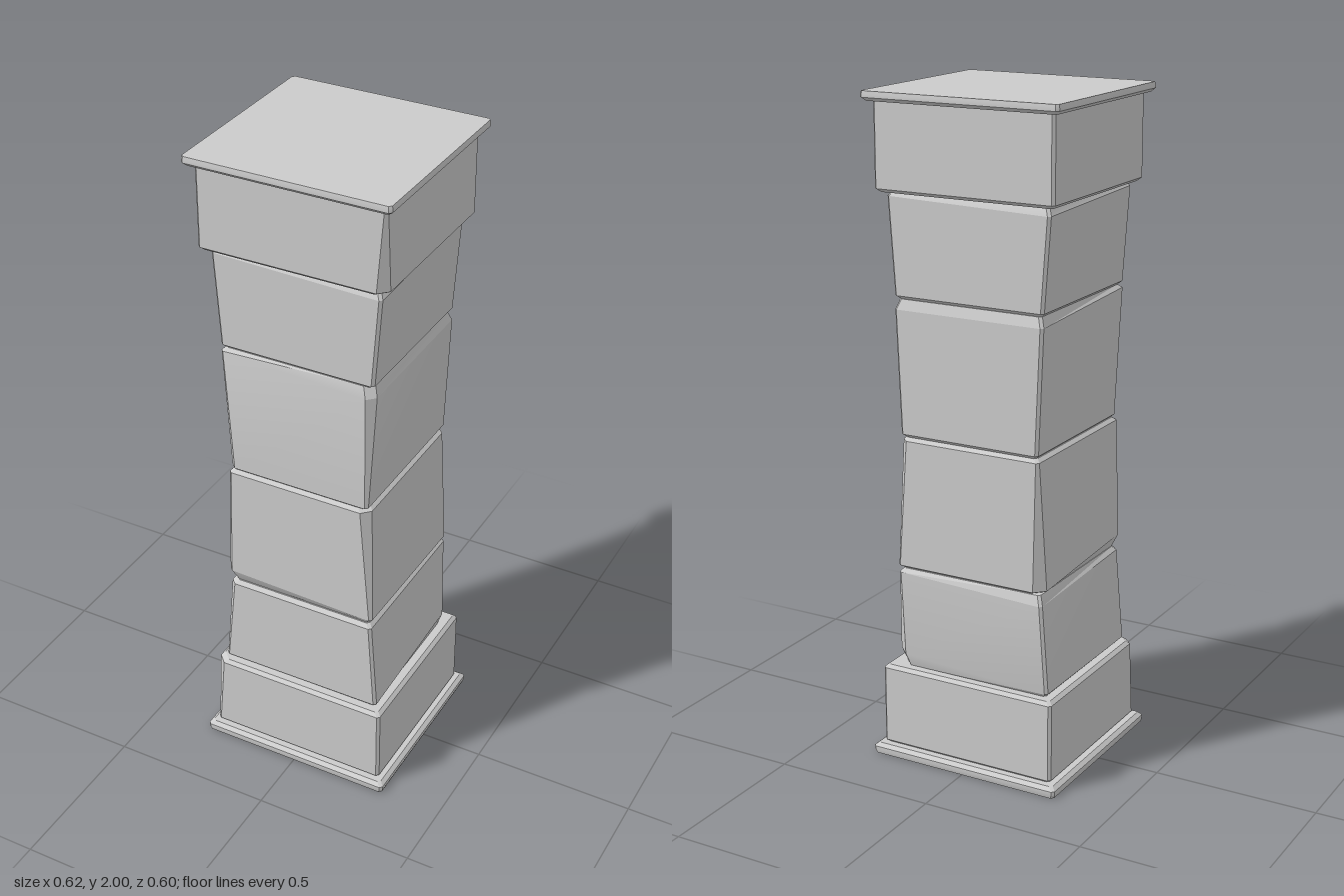
import * as THREE from 'three';
import { toCreasedNormals } from 'three/addons/utils/BufferGeometryUtils.js';

// Corner order: front-left(+x,+z), back-left(+x,-z), back-right(-x,-z), front-right(-x,+z)
const SIGNS = [[1, 1], [1, -1], [-1, -1], [-1, 1]];

// Eight-sided outline of a rectangle with cut corners; heights may differ per corner
function ring(hx, hz, cuts, heights) {
  return SIGNS.flatMap(([sx, sz], i) => {
    const c = cuts[i], y = heights[i];
    const alongX = [sx * (hx - c), y, sz * hz];
    const alongZ = [sx * hx, y, sz * (hz - c)];
    return i % 2 === 0 ? [alongX, alongZ] : [alongZ, alongX];
  });
}

// Loft through the rings and close both ends
function loft(rings) {
  const n = rings[0].length, index = [];
  for (let r = 0; r < rings.length - 1; r++) {
    for (let i = 0; i < n; i++) {
      const a = r * n + i, b = r * n + (i + 1) % n;
      index.push(a, b, b + n, a, b + n, a + n);
    }
  }
  const top = (rings.length - 1) * n;
  for (let i = 1; i < n - 1; i++) {
    index.push(0, i + 1, i, top, top + i, top + i + 1);
  }
  const geometry = new THREE.BufferGeometry();
  geometry.setAttribute('position', new THREE.Float32BufferAttribute(rings.flat(2), 3));
  geometry.setIndex(index);
  return toCreasedNormals(geometry, 0.35);
}

const even = (v) => [v, v, v, v];

// Stone block: half sizes at bottom and top, corner chips and edge wear per corner
function stone({ y, hx, hz, cutLow = even(0.008), cutHigh = even(0.008),
  wearLow = even(0.01), wearHigh = even(0.01), inset = [0.011, 0.011] }) {
  const [y0, y1] = y;
  return loft([
    ring(hx[0] - inset[0], hz[0] - inset[0], cutLow, even(y0)),
    ring(hx[0], hz[0], cutLow, wearLow.map((w) => y0 + w)),
    ring(hx[1], hz[1], cutHigh, wearHigh.map((w) => y1 - w)),
    ring(hx[1] - inset[1], hz[1] - inset[1], cutHigh, even(y1)),
  ]);
}

const PARTS = {
  basePlate: { y: [0, 0.032], hx: [0.31, 0.31], hz: [0.3, 0.3], inset: [0.003, 0.012] },
  baseBlock: {
    y: [0.03, 0.287], hx: [0.285, 0.285], hz: [0.275, 0.275],
    cutHigh: [0.008, 0.008, 0.008, 0.028],
  },
  lowerShaftStone: {
    y: [0.287, 0.597], hx: [0.26, 0.24], hz: [0.25, 0.25],
    cutLow: [0.008, 0.04, 0.008, 0.008], cutHigh: [0.008, 0.008, 0.008, 0.018],
    wearLow: [0.012, 0.038, 0.012, 0.01], wearHigh: [0.012, 0.012, 0.03, 0.012],
  },
  lowerMiddleStone: {
    y: [0.597, 1.005], hx: [0.242, 0.228], hz: [0.25, 0.25],
    cutLow: [0.008, 0.008, 0.03, 0.012], cutHigh: [0.026, 0.022, 0.008, 0.008],
    wearLow: [0.02, 0.01, 0.01, 0.036], inset: [0.015, 0.011],
  },
  upperMiddleStone: {
    y: [1.005, 1.413], hx: [0.225, 0.24], hz: [0.25, 0.25],
    cutLow: [0.008, 0.008, 0.008, 0.018], cutHigh: [0.024, 0.008, 0.008, 0.008],
    wearHigh: [0.035, 0.03, 0.03, 0.01],
  },
  upperShaftStone: {
    y: [1.413, 1.718], hx: [0.24, 0.26], hz: [0.248, 0.248],
    wearHigh: [0.025, 0.012, 0.025, 0.012],
  },
  capBlock: {
    y: [1.718, 1.98], hx: [0.285, 0.285], hz: [0.273, 0.273],
    cutLow: [0.028, 0.008, 0.008, 0.008],
  },
  capPlate: {
    y: [1.972, 2], hx: [0.31, 0.31], hz: [0.3, 0.3], inset: [0.01, 0.002],
  },
};

export function createModel() {
  const column = new THREE.Group();
  column.name = 'stoneColumn';
  const material = new THREE.MeshStandardMaterial({ color: 0xcccccc });
  for (const [name, spec] of Object.entries(PARTS)) {
    const mesh = new THREE.Mesh(stone(spec), material);
    mesh.name = name;
    column.add(mesh);
  }
  return column;
}
